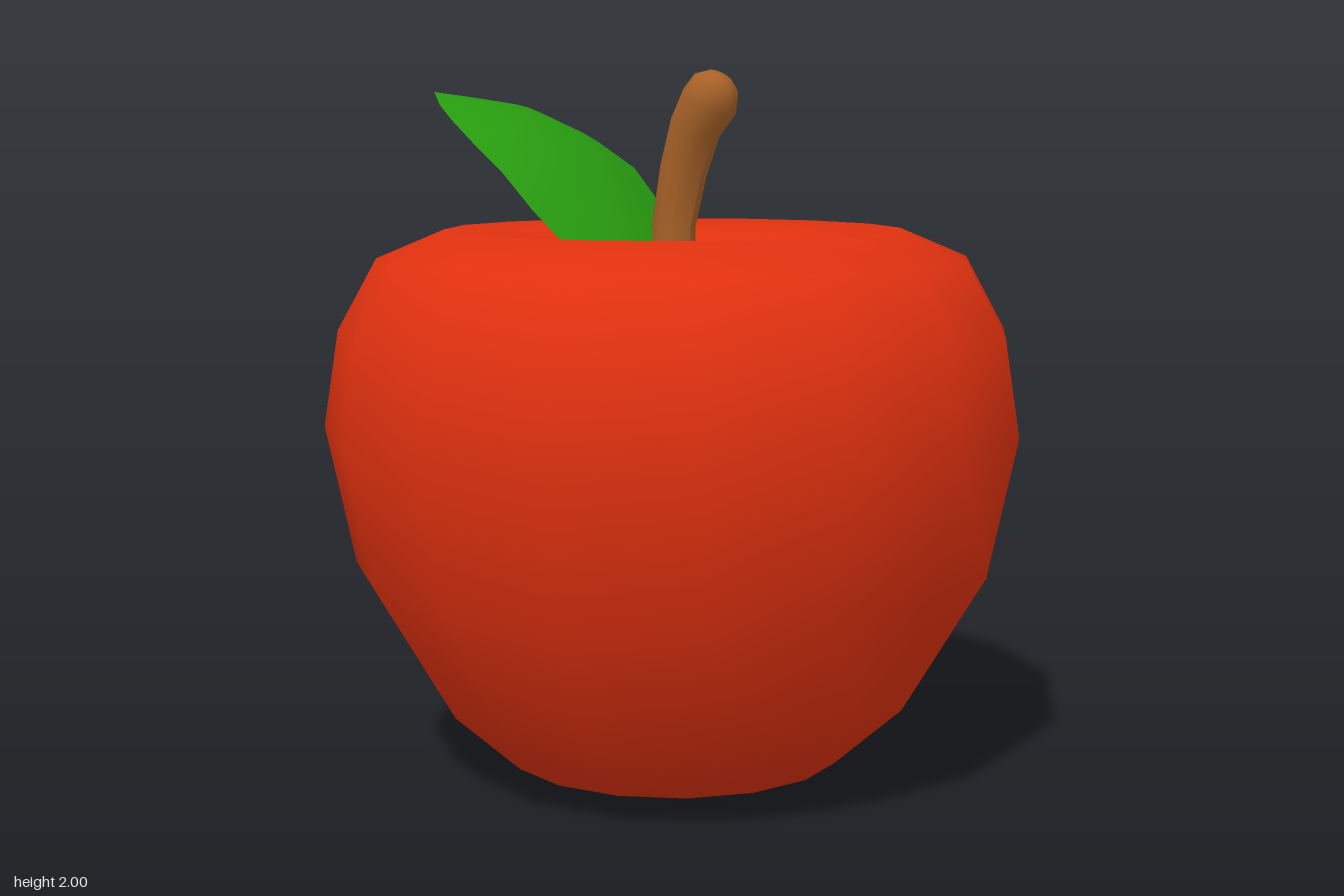
import * as THREE from 'three';

const mat = (name, color) => {
  const m = new THREE.MeshStandardMaterial({ color });
  m.name = name;
  return m;
};

// Skin a list of equal-length point rows into one smooth surface.
function loft(rows, material, name) {
  const n = rows[0].length, index = [];
  for (let i = 0; i < rows.length - 1; i++) {
    for (let j = 0; j < n - 1; j++) {
      const a = i * n + j, b = a + 1, c = a + n, d = c + 1;
      index.push(a, b, d, a, d, c);
    }
  }
  const g = new THREE.BufferGeometry();
  g.setAttribute('position', new THREE.Float32BufferAttribute(rows.flat(2), 3));
  g.setIndex(index);
  g.computeVertexNormals();
  const mesh = new THREE.Mesh(g, material);
  mesh.name = name;
  return mesh;
}

export function createModel() {
  const red = mat('apple red', 0xe0310f);
  const brown = mat('stem brown', 0xa86228);
  const green = mat('leaf green', 0x27990f);
  const olive = mat('blossom end olive', 0x8a6a2a);
  green.side = THREE.DoubleSide;
  const group = new THREE.Group();
  group.name = 'apple';

  // Fruit: 16-sided lathe with a hollow at both ends
  const profile = [
    [0, 0.1], [0.1, 0.08], [0.17, 0.03], [0.25, 0], [0.48, 0.06], [0.67, 0.23],
    [0.9, 0.62], [0.982, 1.01], [0.94, 1.28], [0.83, 1.48], [0.64, 1.56],
    [0.4, 1.525], [0.18, 1.37], [0, 1.25],
  ].map(([r, y]) => new THREE.Vector2(r, y));
  const fruit = new THREE.Mesh(new THREE.LatheGeometry(profile, 16), red);
  fruit.name = 'fruit';
  group.add(fruit);

  // Dried blossom end inside the lower hollow
  const end = new THREE.Mesh(new THREE.CylinderGeometry(0.08, 0.1, 0.03, 10), olive);
  end.name = 'blossomEnd';
  end.position.y = 0.09;
  group.add(end);

  // Stem: bent, slightly widening, rounded tip; rings are [x, y, radius, lean]
  const rings = [
    [0, 1.22, 0.058, 0], [0, 1.57, 0.062, 0.12], [0.035, 1.72, 0.067, 0.3],
    [0.078, 1.84, 0.072, 0.42], [0.13, 1.912, 0.08, 0.53],
    [0.154, 1.958, 0.066, 0.53], [0.166, 1.98, 0.035, 0.53], [0.168, 1.984, 0.001, 0.53],
  ];
  const sides = 12;
  group.add(loft(rings.map(([x, y, r, lean]) =>
    Array.from({ length: sides + 1 }, (_, j) => {
      const a = -(j / sides) * Math.PI * 2, u = r * Math.cos(a);
      return [x + u * Math.cos(lean), y - u * Math.sin(lean), r * Math.sin(a)];
    })), brown, 'stem'));

  // Leaf: arched blade whose edges droop; stations are [x, y, half width]
  const stations = [
    [-0.01, 1.28, 0.02], [-0.04, 1.35, 0.08], [-0.12, 1.47, 0.18], [-0.2, 1.575, 0.235],
    [-0.29, 1.68, 0.272], [-0.4, 1.785, 0.28], [-0.53, 1.857, 0.262],
    [-0.67, 1.91, 0.212], [-0.83, 1.93, 0.11], [-0.97, 1.945, 0.002],
  ];
  const across = 8;
  group.add(loft(stations.map(([x, y, w]) =>
    Array.from({ length: across + 1 }, (_, j) => {
      const t = (j / across) * 2 - 1;
      return [x, y - 0.24 * w * t * t, w * t];
    })).map(row => row.reverse()), green, 'leaf'));

  return group;
}
